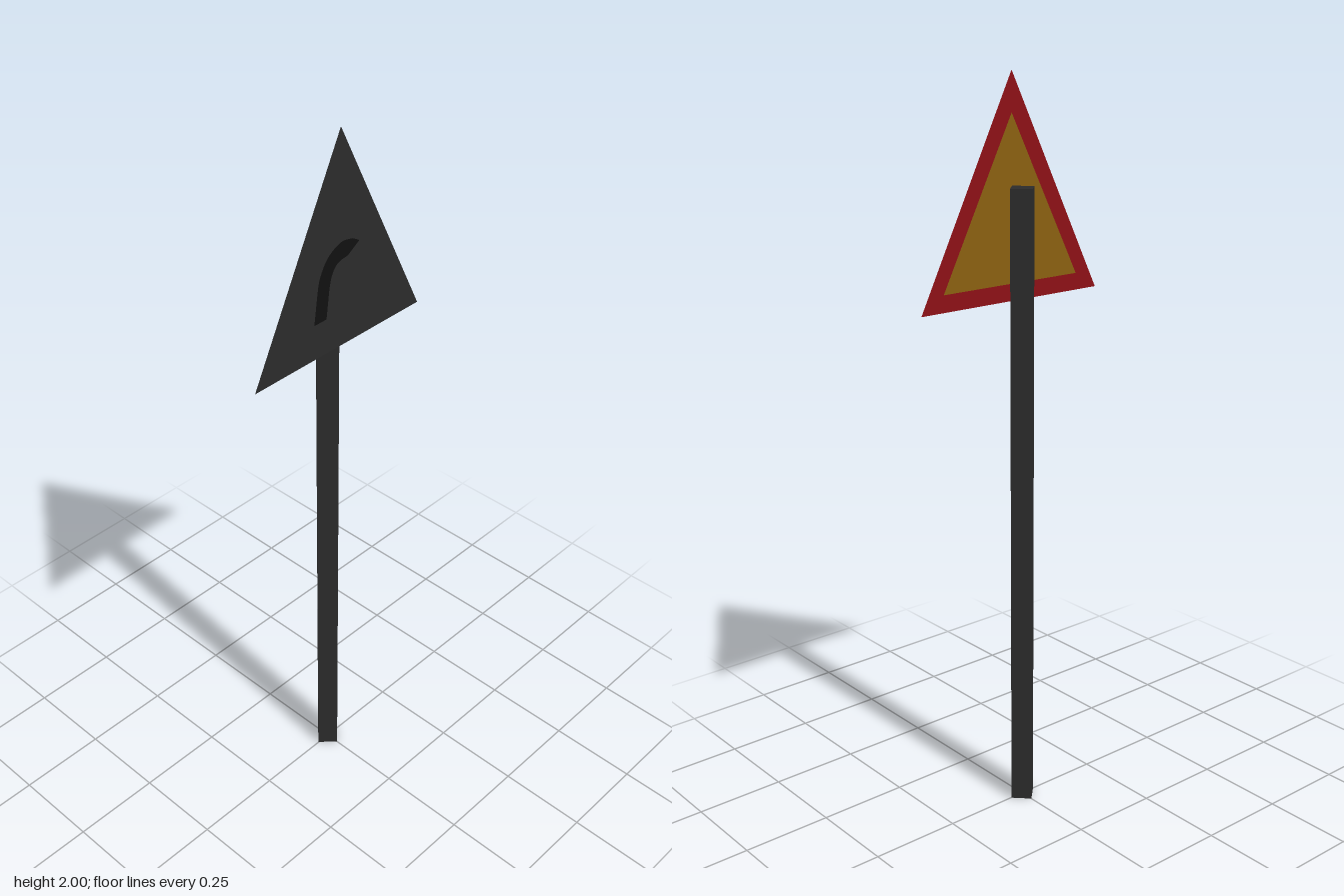
import * as THREE from 'three';

const paint = (color) => new THREE.MeshStandardMaterial({ color });
const vec = (points) => points.map(([x, y]) => new THREE.Vector2(x, y));
const triangle = (half, bottom, top) => vec([[-half, bottom], [half, bottom], [0, top]]);

export function createModel() {
  const group = new THREE.Group();
  const dark = paint(0x2b2b2b);
  dark.flatShading = true;

  // Flat sheet facing the front, or the back when turned
  function sheet(name, shape, material, z, back = false) {
    const mesh = new THREE.Mesh(new THREE.ShapeGeometry(shape), material);
    mesh.name = name;
    mesh.position.z = z;
    if (back) mesh.rotation.y = Math.PI;
    group.add(mesh);
  }

  // Square post, corner towards the front
  const post = new THREE.Mesh(new THREE.CylinderGeometry(0.04, 0.04, 1.717, 4), dark);
  post.name = 'post';
  post.position.set(0, 1.717 / 2, -0.001);
  group.add(post);

  // Triangular panel: plain face in front, bordered face behind
  const outer = triangle(0.29, 1.422, 2);
  const inner = triangle(0.22, 1.467, 1.897);
  const border = new THREE.Shape(outer);
  border.holes.push(new THREE.Path(inner));
  sheet('panelFace', new THREE.Shape(outer), dark, 0.0405);
  sheet('panelBorder', border, paint(0x8c1016), 0.04, true);
  sheet('panelCentre', new THREE.Shape(inner), paint(0x8a6010), 0.04, true);

  // Bend symbol: a stem curving over to a point on the right
  const bend = new THREE.Shape();
  bend.moveTo(-0.09, 1.52);
  bend.lineTo(-0.048, 1.52);
  bend.lineTo(-0.038, 1.6);
  bend.splineThru(vec([[-0.028, 1.635], [-0.008, 1.658], [0.026, 1.665]]));
  bend.lineTo(0.065, 1.69);
  bend.lineTo(0.042, 1.704);
  bend.splineThru(vec([[0.002, 1.709], [-0.042, 1.686], [-0.07, 1.642], [-0.08, 1.595]]));
  sheet('bendSymbol', bend, paint(0x101010), 0.0415);

  return group;
}
